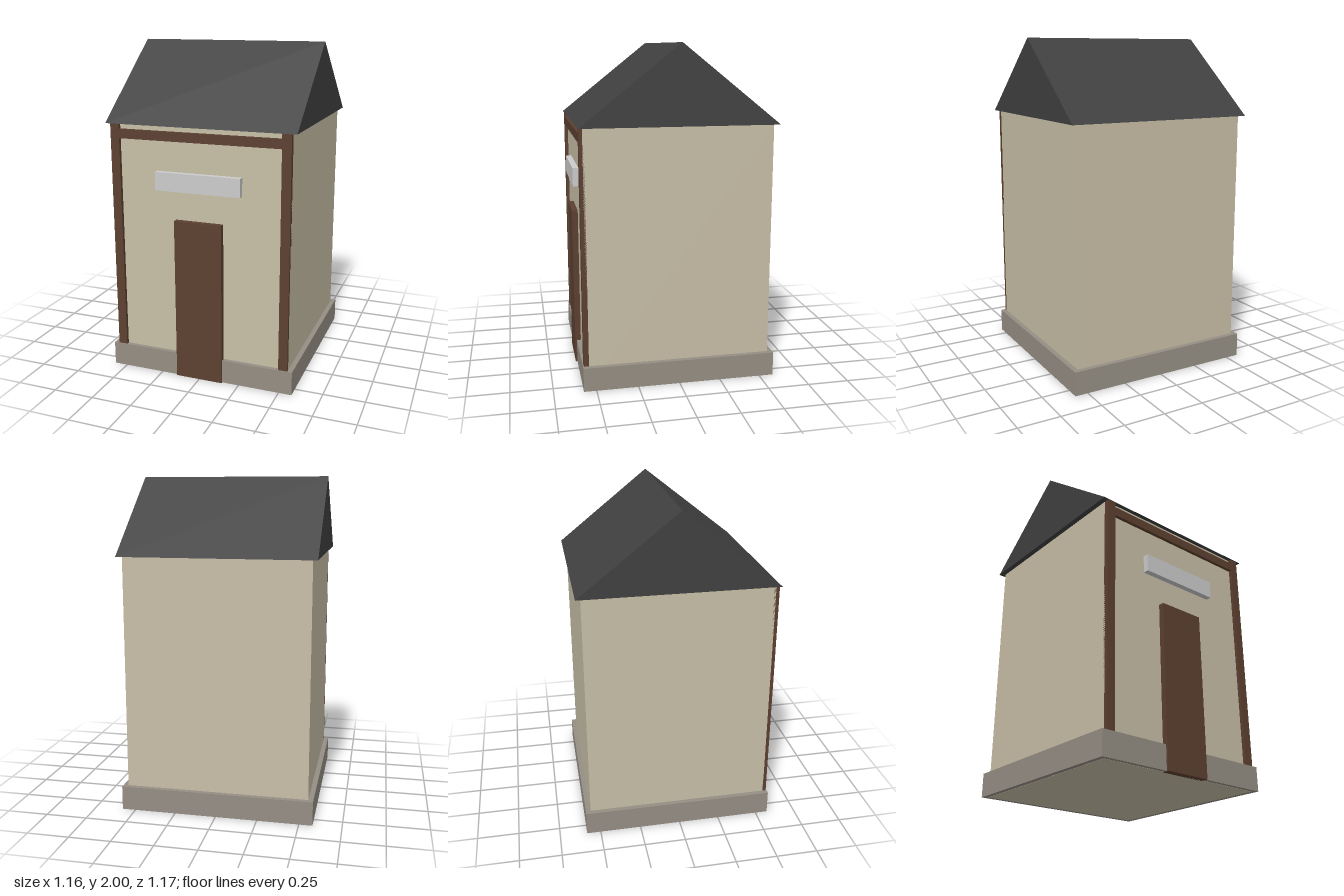
import * as THREE from 'three';

export function createModel() {
  const model = new THREE.Group();
  model.name = 'smallHouse';

  const makeMaterial = (name, color) => {
    const material = new THREE.MeshStandardMaterial({ color });
    material.name = name;
    return material;
  };
  const plaster = makeMaterial('plaster', 0xc8bfa7);
  const stone = makeMaterial('stone', 0x958e84);
  const slate = makeMaterial('slate', 0x404040);
  const wood = makeMaterial('wood', 0x5c4030);
  const signGrey = makeMaterial('signGrey', 0xcccccc);

  // Adds a box spanning the given ranges on each axis
  const addBox = (name, material, [x0, x1], [y0, y1], [z0, z1]) => {
    const mesh = new THREE.Mesh(new THREE.BoxGeometry(x1 - x0, y1 - y0, z1 - z0), material);
    mesh.position.set((x0 + x1) / 2, (y0 + y1) / 2, (z0 + z1) / 2);
    mesh.name = name;
    model.add(mesh);
  };

  // Plinth, a hair above the wall underside so the faces do not overlap
  addBox('plinth', stone, [-0.58, 0.58], [0.001, 0.145], [-0.585, 0.575]);
  addBox('walls', plaster, [-0.55, 0.55], [0, 1.539], [-0.555, 0.55]);

  // Timber frame on the front
  for (const side of [-1, 1]) {
    const xs = [side * 0.495, side * 0.55].sort((a, b) => a - b);
    addBox(side > 0 ? 'leftPost' : 'rightPost', wood, xs, [0.1, 1.539], [0.54, 0.57]);
  }
  addBox('crossBeam', wood, [-0.495, 0.495], [1.455, 1.51], [0.54, 0.57]);

  // Door and blank sign board
  addBox('door', wood, [-0.147, 0.147], [0, 0.99], [0.54, 0.585]);
  addBox('signBoard', signGrey, [-0.262, 0.262], [1.165, 1.275], [0.54, 0.585]);

  // Gable roof: triangle extruded along x
  const gable = new THREE.Shape();
  gable.moveTo(-0.58, 0);
  gable.lineTo(0.58, 0);
  gable.lineTo(0, 0.46);
  gable.closePath();
  const roofGeometry = new THREE.ExtrudeGeometry(gable, { depth: 1.16, bevelEnabled: false });
  roofGeometry.translate(0, 0, -0.58).rotateY(Math.PI / 2);
  const roof = new THREE.Mesh(roofGeometry, slate);
  roof.position.set(0, 1.54, -0.005);
  roof.name = 'roof';
  model.add(roof);

  return model;
}
